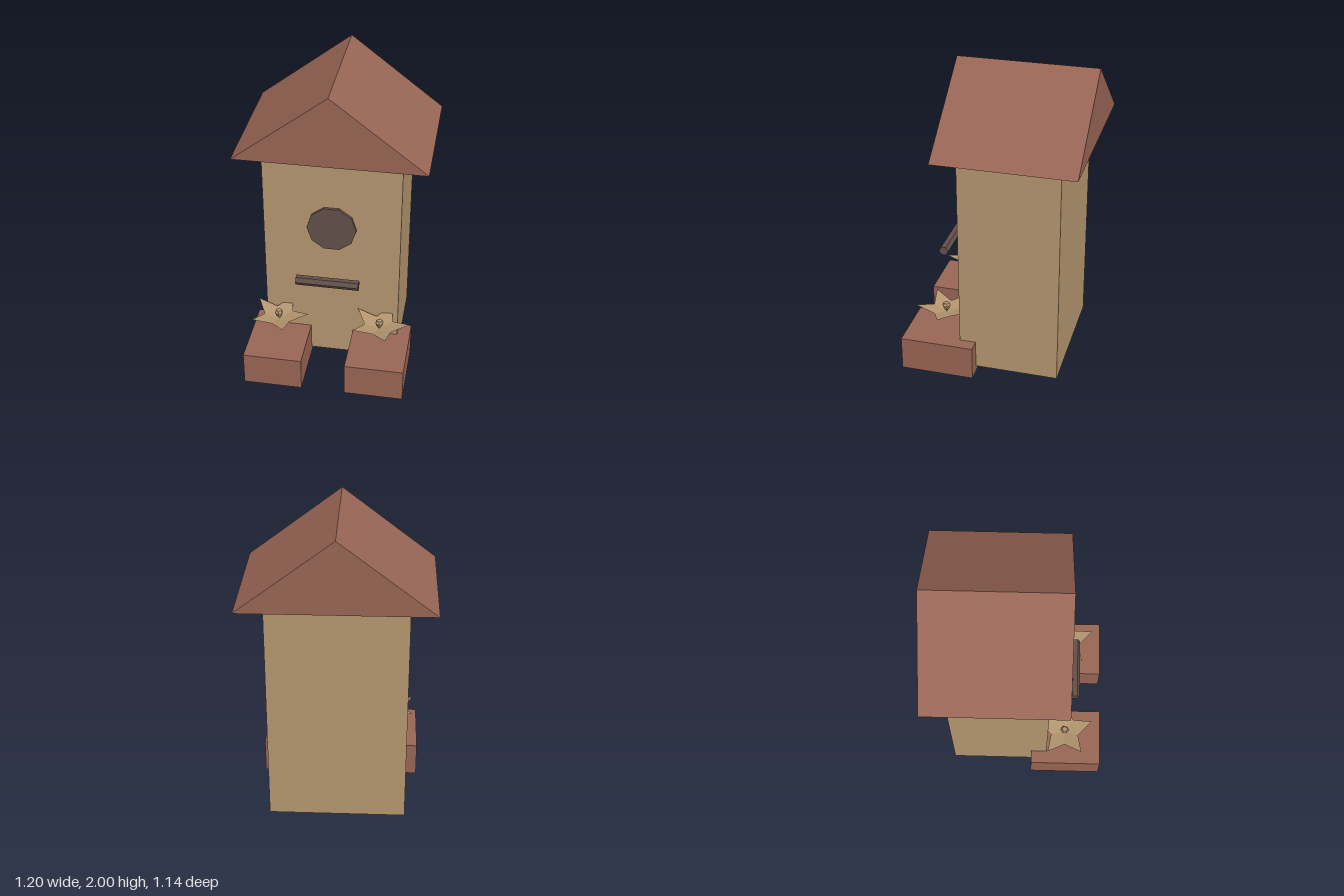
import * as THREE from 'three';

const mat = (name, color, extra = {}) => {
  const m = new THREE.MeshStandardMaterial({ color, flatShading: true, ...extra });
  m.name = name;
  return m;
};

export function createModel() {
  const wood = mat('tan wood', 0xb4966f, { side: THREE.DoubleSide });
  const brick = mat('brick red', 0x986555);
  const dark = mat('dark brown', 0x625049);
  const group = new THREE.Group();
  group.name = 'birdhouse';

  const add = (name, geometry, material, x, y, z, parent = group) => {
    const mesh = new THREE.Mesh(geometry, material);
    mesh.name = name;
    mesh.position.set(x, y, z);
    parent.add(mesh);
    return mesh;
  };

  // House body
  add('body', new THREE.BoxGeometry(0.874, 1.5, 0.645), wood, 0, 0.79, -0.1225);

  // Solid gabled roof
  const gable = new THREE.Shape([
    new THREE.Vector2(-0.6, 1.54), new THREE.Vector2(0.6, 1.54), new THREE.Vector2(0, 2),
  ]);
  add('roof', new THREE.ExtrudeGeometry(gable, { depth: 0.888, bevelEnabled: false }), brick, 0, 0, -0.573);

  // Ten-sided entrance disc, with corners pointing left and right
  const disc = new THREE.CylinderGeometry(0.158, 0.158, 0.025, 10).rotateY(Math.PI / 2).rotateX(Math.PI / 2);
  add('entranceHole', disc, dark, 0, 1.03, 0.205);

  // Six-sided perch, floating in front of the wall
  const bar = new THREE.CylinderGeometry(0.032, 0.032, 0.4, 6).rotateZ(Math.PI / 2);
  add('perch', bar, dark, 0, 0.73, 0.373);

  // Five-petal star: raised tips alternating with lower notches around a low centre
  const points = [0, 0, 0];
  const index = [];
  for (let i = 0; i < 10; i++) {
    const a = (i * Math.PI) / 5;
    const r = i % 2 ? 0.097 : 0.195;
    points.push(r * Math.cos(a), i % 2 ? 0.022 : 0.055, r * Math.sin(a));
    index.push(0, 1 + ((i + 1) % 10), 1 + i);
  }
  const star = new THREE.BufferGeometry();
  star.setAttribute('position', new THREE.Float32BufferAttribute(points, 3));
  star.setIndex(index);
  const petals = star.toNonIndexed();
  petals.computeVertexNormals();

  // Faceted flower bud
  const bud = new THREE.LatheGeometry([
    new THREE.Vector2(0, 0), new THREE.Vector2(0.018, 0.025), new THREE.Vector2(0.028, 0.048),
    new THREE.Vector2(0.018, 0.066), new THREE.Vector2(0, 0.072),
  ], 6);

  // A planter and a flower on each side
  for (const [side, s] of [['left', 1], ['right', -1]]) {
    add(side + 'Planter', new THREE.BoxGeometry(0.38, 0.225, 0.478), brick, s * 0.331, 0.1125, 0.333);
    const flower = new THREE.Group();
    flower.name = side + 'Flower';
    flower.position.set(s * 0.331, 0.36, 0.32);
    group.add(flower);
    add(side + 'Petals', petals, wood, 0, 0, 0, flower);
    add(side + 'Bud', bud, wood, 0, 0, 0, flower);
  }
  return group;
}
